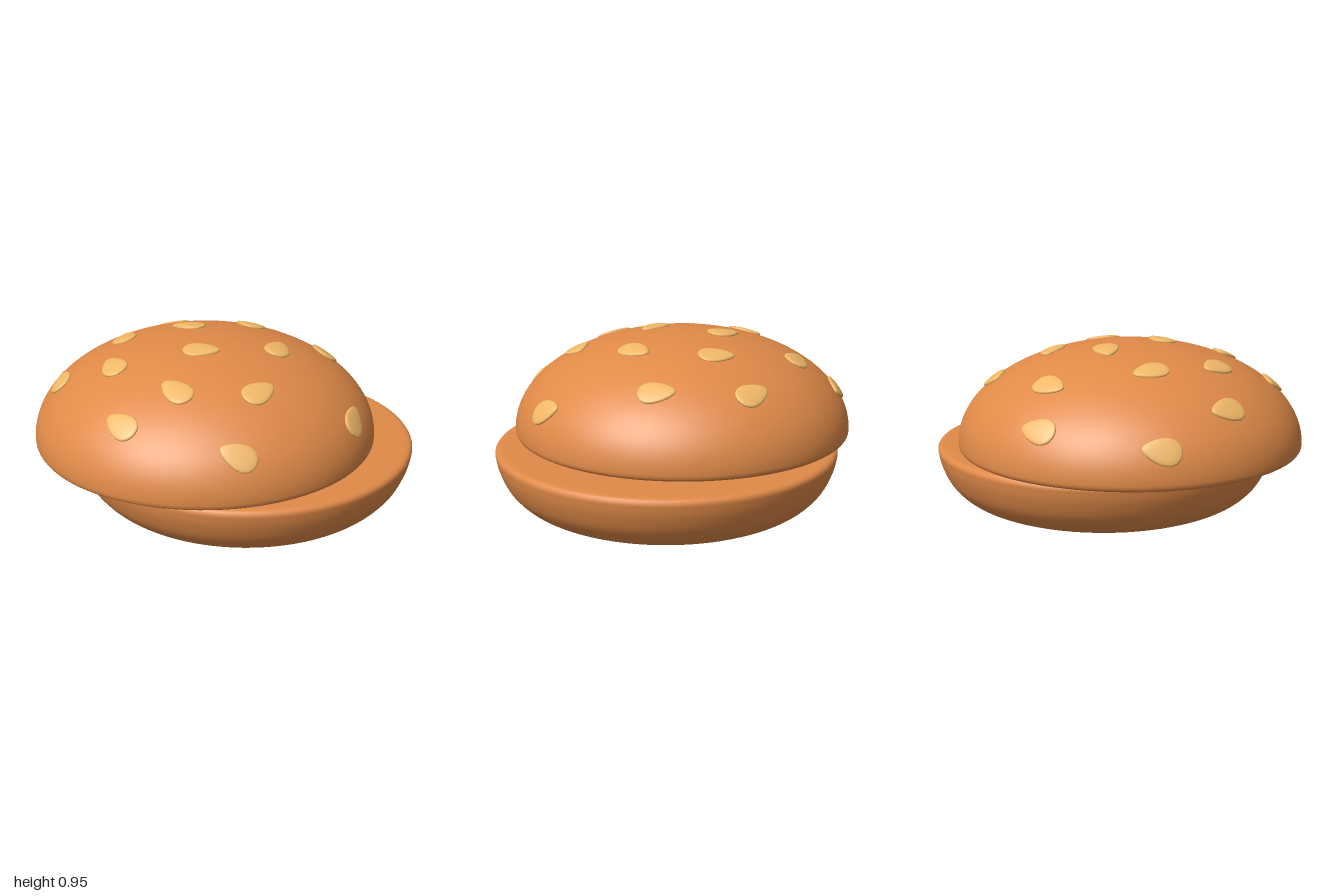
import * as THREE from 'three';

const RADIUS = 0.895, CROWN_BASE = 0.43, CROWN_HEIGHT = 0.513;
const CROWN_X = -0.105, HEEL_X = 0.105;

const bunMaterial = new THREE.MeshStandardMaterial({ color: 0xe08a48 });
const seedMaterial = new THREE.MeshStandardMaterial({ color: 0xf0b868 });

const points = list => list.map(([r, y]) => new THREE.Vector2(r, y));

function addLathe(group, name, profile, x) {
  const mesh = new THREE.Mesh(new THREE.LatheGeometry(profile, 96), bunMaterial);
  mesh.name = name;
  mesh.position.x = x;
  group.add(mesh);
}

// Domed upper half: flat underside, small rounded rim, elliptical crown
function crownProfile() {
  const profile = points([[0, 0.395], [0.83, 0.395], [0.86, 0.396], [0.876, 0.399], [0.887, 0.406], [0.893, 0.416]]);
  const steps = 32;
  for (let i = 0; i <= steps; i++) {
    const a = (i / steps) * Math.PI / 2;
    profile.push(new THREE.Vector2(i === steps ? 0 : RADIUS * Math.cos(a), CROWN_BASE + CROWN_HEIGHT * Math.sin(a)));
  }
  return profile;
}

// Shallow bowl-shaped lower half with a rounded rim and flat cut face
function heelProfile() {
  const bowl = new THREE.SplineCurve(points([
    [0, 0.003], [0.22, 0.01], [0.43, 0.03], [0.62, 0.06], [0.75, 0.11],
    [0.835, 0.19], [0.88, 0.285], [0.895, 0.355],
  ])).getPoints(36);
  bowl[0].x = 0;
  return [...bowl, ...points([[0.894, 0.367], [0.887, 0.377], [0.876, 0.383], [0.86, 0.385], [0.83, 0.386], [0, 0.386]])];
}

// Flattened teardrop, its tip pointing along +x
function seedGeometry() {
  const geometry = new THREE.SphereGeometry(1, 28, 16);
  const p = geometry.attributes.position;
  for (let i = 0; i < p.count; i++) {
    const x = p.getX(i), y = p.getY(i), z = p.getZ(i);
    p.setXYZ(i, x * 0.095, Math.sign(y) * Math.abs(y) ** 0.7 * 0.015, z * 0.064 * (1 - 0.32 * x));
  }
  geometry.computeVertexNormals();
  return geometry;
}

// Seed centre x, z and tip direction dx, dz, all seen from above
const SEEDS = [
  [-0.37, -0.775, 16, -5], [-0.22, -0.6, -17, 2], [0.33, -0.55, -18, -9], [-0.845, -0.43, 9, -13],
  [0.17, -0.3, -10, -14], [-0.51, -0.21, 3, -15], [-0.17, -0.21, -14, -8], [0.55, -0.14, -5, -14],
  [-0.85, -0.025, 1, -15], [-0.58, 0.16, -4, -16], [-0.14, 0.18, 17, 3], [0.26, 0.11, 6, -16],
  [-0.29, 0.495, -11, -14], [0.105, 0.52, 13, -10], [0.595, 0.445, 4, -14], [-0.56, 0.585, -11, -13],
  [-0.03, 0.815, -16, -4],
];

function addSeeds(group) {
  const seeds = new THREE.Group();
  seeds.name = 'seeds';
  const geometry = seedGeometry();
  for (const [x, z, dx, dz] of SEEDS) {
    // Lay each seed on the crown, aligned with its normal
    const u = x - CROWN_X;
    const h = CROWN_HEIGHT * Math.sqrt(1 - (u * u + z * z) / RADIUS ** 2);
    const normal = new THREE.Vector3(u / RADIUS ** 2, h / CROWN_HEIGHT ** 2, z / RADIUS ** 2).normalize();
    const tip = new THREE.Vector3(dx, -(normal.x * dx + normal.z * dz) / normal.y, dz).normalize();
    const side = new THREE.Vector3().crossVectors(tip, normal);
    const seed = new THREE.Mesh(geometry, seedMaterial);
    seed.name = 'sesameSeed';
    seed.quaternion.setFromRotationMatrix(new THREE.Matrix4().makeBasis(tip, normal, side));
    seed.position.set(x, CROWN_BASE + h, z);
    seeds.add(seed);
  }
  group.add(seeds);
}

export function createModel() {
  const group = new THREE.Group();
  group.name = 'burgerBun';
  addLathe(group, 'bottomBun', heelProfile(), HEEL_X);
  addLathe(group, 'topBun', crownProfile(), CROWN_X);
  addSeeds(group);
  return group;
}
